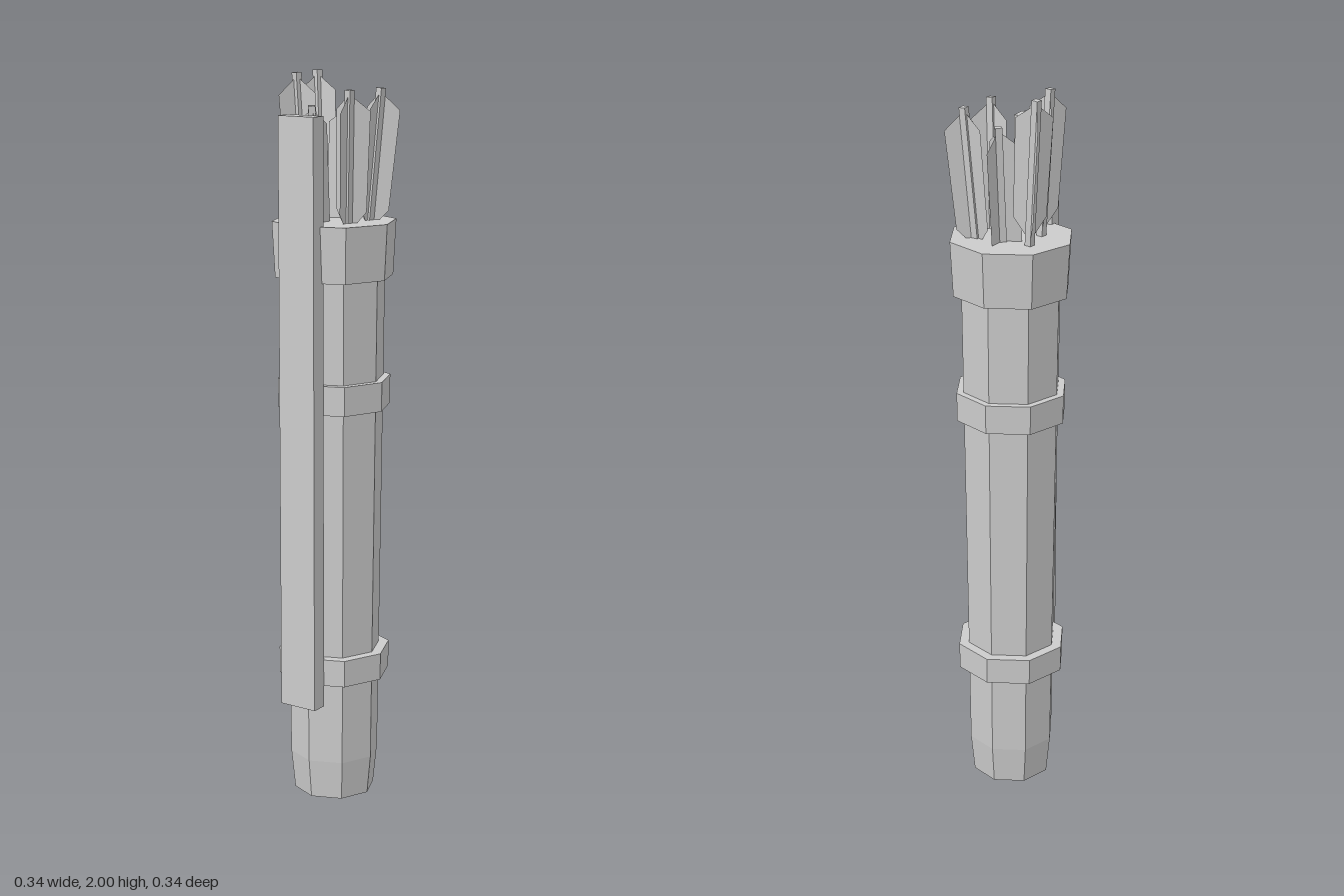
import * as THREE from 'three';

const grey = new THREE.MeshStandardMaterial({ color: 0xcccccc, flatShading: true });
const thin = new THREE.MeshStandardMaterial({ color: 0xcccccc, flatShading: true, side: THREE.DoubleSide });
const UP = new THREE.Vector3(0, 1, 0);

// eight-sided ring or tapered section between two heights
function section(name, y0, y1, r0, r1) {
  const mesh = new THREE.Mesh(new THREE.CylinderGeometry(r1, r0, y1 - y0, 8), grey);
  mesh.name = name;
  mesh.position.set(0, (y0 + y1) / 2, -0.004);
  return mesh;
}

// shaft with three vanes, hanging down from its nock at the origin
function makeArrow() {
  const arrow = new THREE.Group();
  arrow.name = 'arrow';
  const shaft = new THREE.Mesh(new THREE.CylinderGeometry(0.013, 0.013, 0.5, 4), grey);
  shaft.name = 'shaft';
  shaft.position.y = -0.25;
  arrow.add(shaft);
  const vane = new THREE.ShapeGeometry(new THREE.Shape([
    new THREE.Vector2(0, -0.01), new THREE.Vector2(0.056, -0.055),
    new THREE.Vector2(0.05, -0.32), new THREE.Vector2(0, -0.38),
  ]));
  for (let i = 0; i < 3; i++) {
    const mesh = new THREE.Mesh(vane, thin);
    mesh.name = 'vane';
    mesh.rotation.y = i * Math.PI * 2 / 3;
    arrow.add(mesh);
  }
  return arrow;
}

export function createModel() {
  const model = new THREE.Group();
  model.name = 'quiver';

  // tapered case with bevelled foot
  model.add(section('foot', 0, 0.11, 0.112, 0.123));
  model.add(section('body', 0.11, 1.5, 0.123, 0.139));

  // bands and rim
  model.add(section('lowerBand', 0.345, 0.42, 0.154, 0.155));
  model.add(section('upperBand', 1.105, 1.185, 0.154, 0.155));
  model.add(section('rim', 1.46, 1.61, 0.161, 0.169));

  // flat strap along the front
  const strap = new THREE.Mesh(new THREE.BoxGeometry(0.112, 1.61, 0.045), grey);
  strap.name = 'strap';
  strap.position.set(0, 1.09, 0.149);
  model.add(strap);

  // arrows: nock x, y, z, yaw in degrees, outward lean in x and z
  const arrows = [
    [-0.105, 2.0, -0.075, 122, -0.07, -0.05],
    [0, 1.92, -0.08, 83, 0, -0.08],
    [0.1, 1.96, -0.075, 38, 0.07, -0.05],
    [-0.085, 2.0, 0.048, 122, -0.04, 0.04],
    [0.085, 1.96, 0.05, 40, 0.05, 0.05],
    [0, 1.92, 0.1, 83, 0, 0.08],
  ];
  for (const [x, y, z, yaw, leanX, leanZ] of arrows) {
    const arrow = makeArrow();
    arrow.position.set(x, y - 0.002, z);
    const lean = new THREE.Quaternion().setFromUnitVectors(UP, new THREE.Vector3(leanX, 1, leanZ).normalize());
    const turn = new THREE.Quaternion().setFromAxisAngle(UP, THREE.MathUtils.degToRad(yaw));
    arrow.quaternion.copy(lean).multiply(turn);
    model.add(arrow);
  }
  return model;
}
